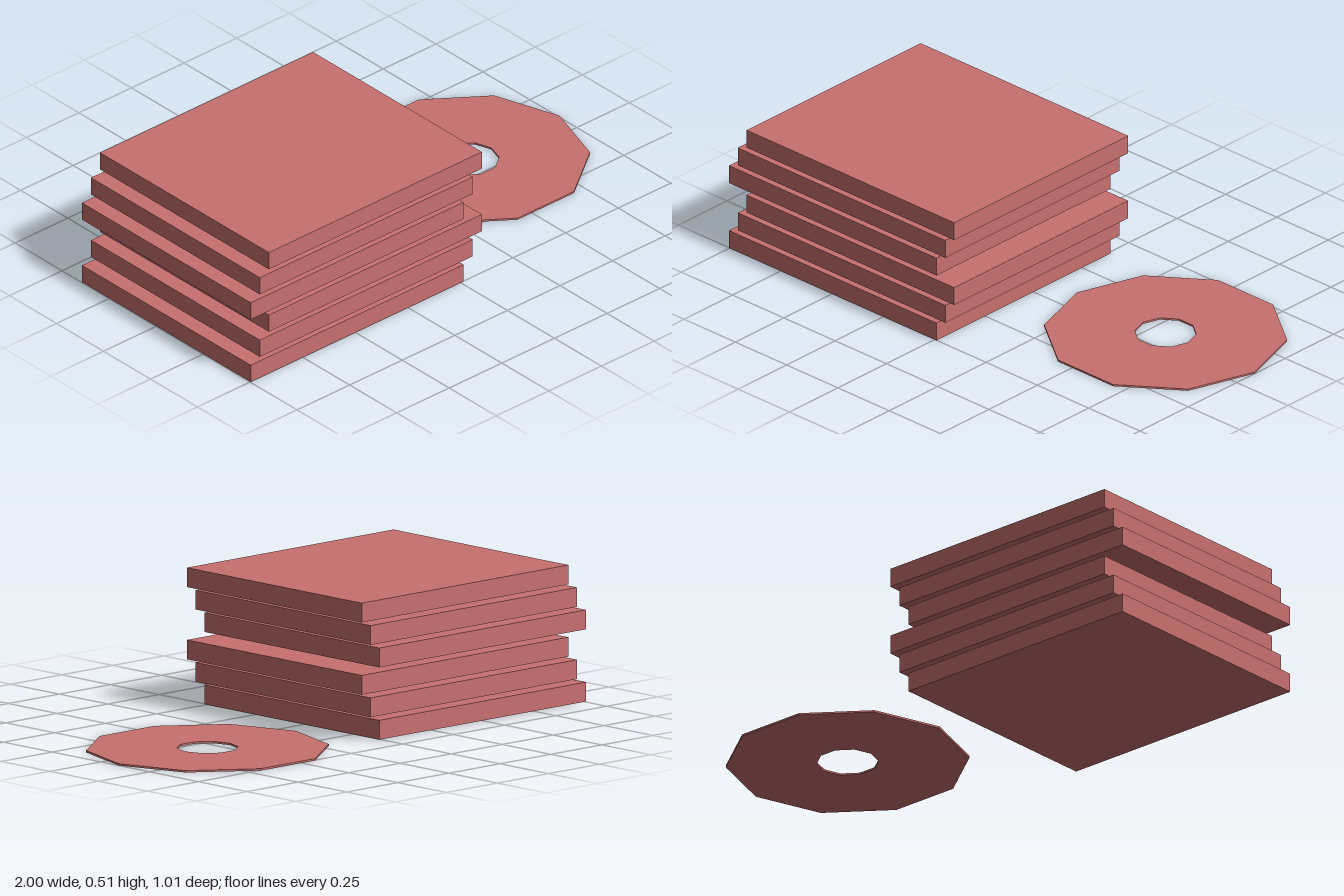
import * as THREE from 'three';

export function createModel() {
  const model = new THREE.Group();
  const material = new THREE.MeshStandardMaterial({ color: 0xc87070, flatShading: true });

  // Stack of six slabs, shifted sideways in a repeating three-step pattern
  const stack = new THREE.Group();
  stack.name = 'slabStack';
  const slabGeometry = new THREE.BoxGeometry(1.012, 0.07, 0.898);
  for (let i = 0; i < 6; i++) {
    const slab = new THREE.Mesh(slabGeometry, material);
    slab.name = `slab${i + 1}`;
    slab.position.set(-0.494 + (i % 3) * 0.043, 0.037 + i * 0.087, 0.055);
    stack.add(slab);
  }
  model.add(stack);

  // Thin ten-sided ring lying on the ground beside the stack
  const decagon = (radius) => Array.from({ length: 10 }, (_, i) => {
    const a = (i * Math.PI) / 5;
    return new THREE.Vector2(radius * Math.cos(a), radius * Math.sin(a));
  });
  const outline = new THREE.Shape(decagon(0.434));
  outline.holes.push(new THREE.Path(decagon(0.11)));
  const ringGeometry = new THREE.ExtrudeGeometry(outline, { depth: 0.007, bevelEnabled: false });
  ringGeometry.rotateX(-Math.PI / 2);
  const ring = new THREE.Mesh(ringGeometry, material);
  ring.name = 'flatRing';
  ring.position.set(0.566, 0, -0.092);
  model.add(ring);

  return model;
}
